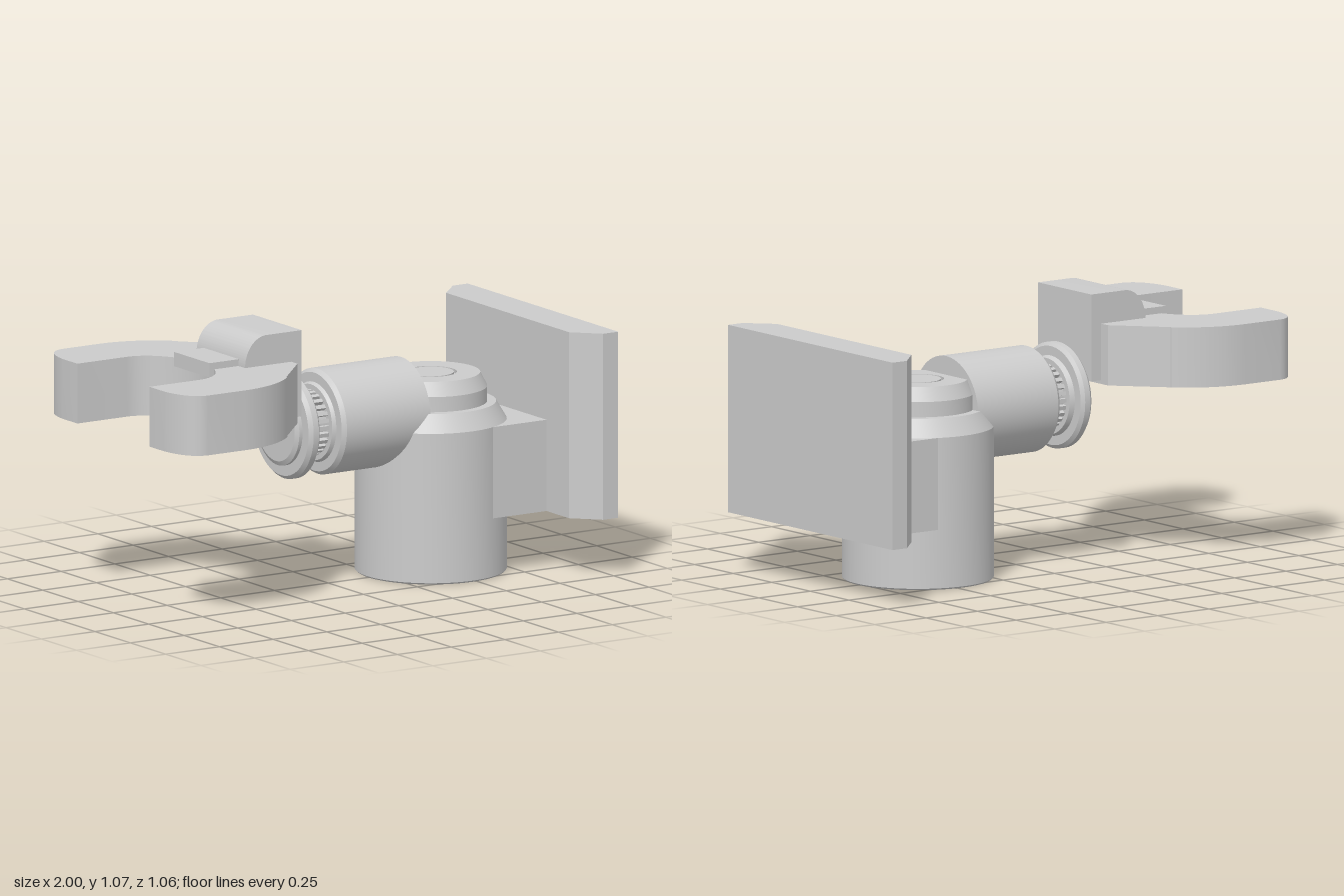
import * as THREE from 'three';
import { toCreasedNormals } from 'three/addons/utils/BufferGeometryUtils.js';

const material = new THREE.MeshStandardMaterial({ color: 0xcccccc });

function add(parent, name, geometry) {
  const mesh = new THREE.Mesh(geometry, material);
  mesh.name = name;
  parent.add(mesh);
  return mesh;
}

function box(parent, name, [x0, x1], [y0, y1], [z0, z1]) {
  const mesh = add(parent, name, new THREE.BoxGeometry(x1 - x0, y1 - y0, z1 - z0));
  mesh.position.set((x0 + x1) / 2, (y0 + y1) / 2, (z0 + z1) / 2);
  return mesh;
}

// Profile of [radius, height] pairs, listed upwards
function turned(profile) {
  const points = profile.map(([r, h]) => new THREE.Vector2(r, h));
  return toCreasedNormals(new THREE.LatheGeometry(points, 72), 0.4);
}

function extruded(shape, depth) {
  const geometry = new THREE.ExtrudeGeometry(shape, { depth, bevelEnabled: false, curveSegments: 20 });
  return toCreasedNormals(geometry, 0.4);
}

// Outline in the x-z plane, extruded upwards from y0
function slab(parent, name, shape, y0, y1) {
  const mesh = add(parent, name, extruded(shape, y1 - y0).rotateX(-Math.PI / 2));
  mesh.position.y = y0;
}

function clawShape() {
  const s = new THREE.Shape();
  // Outer edge of one finger, from the wrist to the tip
  s.moveTo(-0.285, -0.215);
  s.lineTo(-0.285, 0.215);
  s.lineTo(-0.454, 0.395);
  s.absarc(-0.73, 0.125, 0.39, Math.PI / 4, Math.PI / 2, false);
  s.lineTo(-0.9, 0.515);
  s.quadraticCurveTo(-0.985, 0.505, -1, 0.36);
  s.lineTo(-1, 0.255);
  // Rounded throat
  s.lineTo(-0.77, 0.255);
  s.absellipse(-0.77, 0, 0.18, 0.255, Math.PI / 2, -Math.PI / 2, true);
  // Opposite finger
  s.lineTo(-1, -0.255);
  s.lineTo(-1, -0.36);
  s.quadraticCurveTo(-0.985, -0.505, -0.9, -0.515);
  s.lineTo(-0.73, -0.515);
  s.absarc(-0.73, -0.125, 0.39, -Math.PI / 2, -Math.PI / 4, false);
  s.lineTo(-0.454, -0.395);
  s.closePath();
  return s;
}

export function createModel() {
  const model = new THREE.Group();
  model.name = 'gripperArm';

  // Upright body with stepped shoulder and a ring groove in its cap
  const body = add(model, 'body', turned([
    [0, 0], [0.29, 0], [0.296, 0.006], [0.296, 0.6], [0.255, 0.67], [0.22, 0.67], [0.22, 0.73],
    [0.193, 0.785], [0.102, 0.785], [0.102, 0.77], [0.09, 0.77], [0.09, 0.785], [0, 0.785],
  ]));
  body.position.x = 0.477;

  // Mounting plate with chamfered upright edges, and its bracket
  const plate = new THREE.Shape([
    [0.835, -0.435], [0.93, -0.532], [1, -0.532], [1, 0.532], [0.93, 0.532], [0.835, 0.435],
  ].map(([x, z]) => new THREE.Vector2(x, z)));
  slab(model, 'mountingPlate', plate, 0.237, 0.977);
  box(model, 'plateBracket', [0.5, 0.84], [0.237, 0.6], [-0.275, 0.275]);

  // Horizontal arm, wrist neck and flange on one axis
  const arm = new THREE.Group();
  arm.name = 'arm';
  arm.position.y = 0.65;
  model.add(arm);
  add(arm, 'forearm', turned([
    [0, -0.245], [0.135, -0.245], [0.153, -0.235], [0.153, -0.22], [0.195, -0.22], [0.209, -0.205],
    [0.209, -0.18], [0.195, -0.168], [0.158, -0.168], [0.15, -0.148], [0.112, -0.148],
    [0.112, -0.08], [0.15, -0.08], [0.158, -0.066], [0.195, -0.066], [0.209, -0.05],
    [0.209, 0.34], [0, 0.34],
  ]).rotateZ(-Math.PI / 2));

  // Ribs around the wrist neck
  const ribs = 28;
  for (let i = 0; i < ribs; i++) {
    const angle = (i / ribs) * Math.PI * 2;
    const rib = add(arm, 'wristRib', new THREE.BoxGeometry(0.07, 0.028, 0.016));
    rib.position.set(-0.114, Math.cos(angle) * 0.116, Math.sin(angle) * 0.116);
    rib.rotation.x = angle;
  }

  // Two-fingered claw
  slab(model, 'claw', clawShape(), 0.707, 0.945);

  // Knuckle block with one rounded top edge
  const knuckle = new THREE.Shape();
  knuckle.moveTo(-0.5, 0.722);
  knuckle.lineTo(-0.237, 0.722);
  knuckle.lineTo(-0.237, 1.065);
  knuckle.lineTo(-0.4, 1.065);
  knuckle.absellipse(-0.4, 0.945, 0.1, 0.12, Math.PI / 2, Math.PI, false);
  knuckle.closePath();
  add(model, 'knuckle', extruded(knuckle, 0.344)).position.z = -0.172;

  // Tongue over the throat of the claw
  box(model, 'tongue', [-0.635, -0.45], [0.915, 0.972], [-0.125, 0.125]);
  return model;
}
